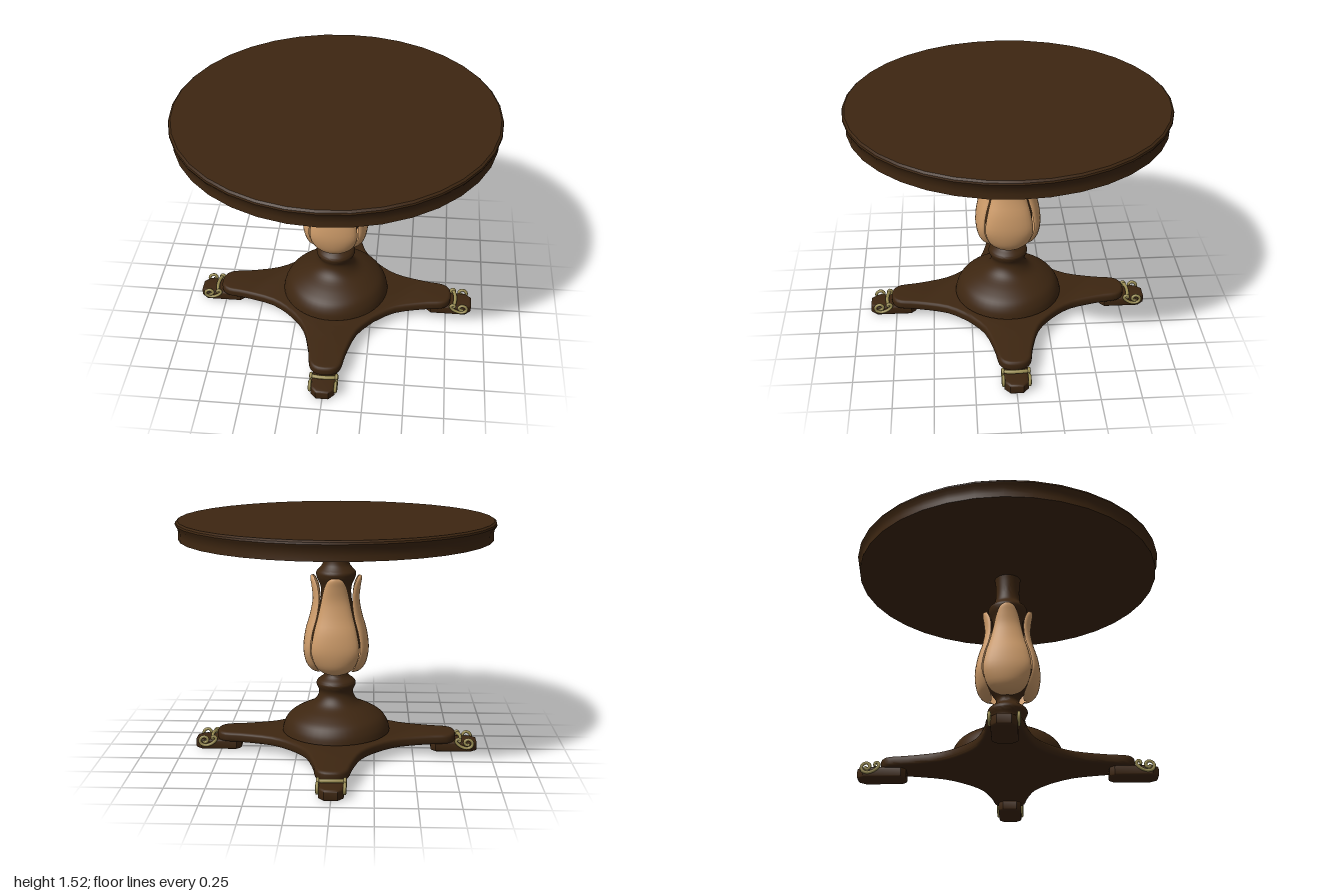
import * as THREE from 'three';
import { toCreasedNormals } from 'three/addons/utils/BufferGeometryUtils.js';

const wood = new THREE.MeshStandardMaterial({ color: 0x3d2611 });
wood.name = 'dark wood';
const paleWood = new THREE.MeshStandardMaterial({ color: 0xcd9b69 });
paleWood.name = 'pale wood';
const brass = new THREE.MeshStandardMaterial({ color: 0x9c8f55 });
brass.name = 'brass';

const v2 = (p) => new THREE.Vector2(p[0], p[1]);

function add(parent, name, geometry, material) {
  const mesh = new THREE.Mesh(geometry, material);
  mesh.name = name;
  parent.add(mesh);
  return mesh;
}

const turned = (points, segments, crease) =>
  toCreasedNormals(new THREE.LatheGeometry(points.map(v2), segments), crease);

// Flat plan outline raised from y0 to y1 with rounded edges
function slab(outline, y0, y1, bevel) {
  const g = new THREE.ExtrudeGeometry(new THREE.Shape(outline), {
    depth: y1 - y0 - 2 * bevel, bevelThickness: bevel, bevelSize: bevel,
    bevelOffset: -bevel, bevelSegments: 3,
  });
  g.rotateX(-Math.PI / 2).translate(0, y0 + bevel, 0);
  return toCreasedNormals(g, 0.7);
}

// Closed crescent sections stacked up the leaf: [y, half width, edge depth, outer depth]
function leafGeometry() {
  const sections = [
    [0.522, 0.01, 0.105, 0.115], [0.527, 0.045, 0.1, 0.138], [0.55, 0.095, 0.108, 0.17],
    [0.6, 0.132, 0.132, 0.198], [0.69, 0.152, 0.158, 0.211], [0.8, 0.137, 0.145, 0.197],
    [0.9, 0.112, 0.118, 0.168], [1.0, 0.09, 0.105, 0.15], [1.08, 0.073, 0.112, 0.156],
    [1.13, 0.052, 0.13, 0.164], [1.15, 0.028, 0.141, 0.162], [1.155, 0.005, 0.15, 0.157],
  ];
  const curve = (k) => new THREE.SplineCurve(sections.map((s) => new THREE.Vector2(s[0], s[k])));
  const curves = [curve(1), curve(2), curve(3)];
  const rows = 36, ring = 24, position = [], index = [];
  for (let i = 0; i <= rows; i++) {
    const [w, edge, outer] = curves.map((c) => c.getPoint(i / rows));
    for (let j = 0; j < ring; j++) {
      const t = (j / ring) * Math.PI * 2, s = Math.sin(t);
      const depth = s >= 0 ? s : -s * 0.45; // inner face is hollowed
      position.push(w.y * Math.cos(t), w.x, edge.y + (outer.y - edge.y) * depth);
    }
  }
  for (let i = 0; i < rows; i++) {
    for (let j = 0; j < ring; j++) {
      const a = i * ring + j, b = i * ring + ((j + 1) % ring);
      index.push(a, a + ring, b, b, a + ring, b + ring);
    }
  }
  const g = new THREE.BufferGeometry();
  g.setAttribute('position', new THREE.Float32BufferAttribute(position, 3));
  g.setIndex(index);
  g.computeVertexNormals();
  return g;
}

// Four-armed plan with concave sides
function platformOutline() {
  const arm = [[0.276, -0.276], [0.41, -0.175], [0.6, -0.12], [0.72, -0.1], [0.768, -0.06],
    [0.78, 0], [0.768, 0.06], [0.72, 0.1], [0.6, 0.12], [0.41, 0.175]];
  const points = [];
  for (let k = 0; k < 4; k++) {
    for (const p of arm) points.push(v2(p).rotateAround(new THREE.Vector2(), (k * Math.PI) / 2));
  }
  points.push(points[0].clone());
  return new THREE.SplineCurve(points).getPoints(120).slice(0, -1);
}

// S-shaped scroll with a small inner curl and a large outer curl
function scrollGeometry() {
  const path = [[0.798, 0.072], [0.81, 0.08], [0.797, 0.092], [0.782, 0.08], [0.79, 0.06],
    [0.815, 0.04], [0.85, 0.029], [0.88, 0.038], [0.89, 0.06], [0.878, 0.082], [0.855, 0.088],
    [0.838, 0.072], [0.845, 0.054], [0.862, 0.052], [0.867, 0.064]];
  const curve = new THREE.CatmullRomCurve3(path.map((p) => new THREE.Vector3(p[0], p[1], 0)));
  return new THREE.TubeGeometry(curve, 70, 0.01, 8);
}

export function createModel() {
  const table = new THREE.Group();
  table.name = 'pedestalTable';

  // Round top with a moulded rim
  add(table, 'tableTop', turned([[0, 1.4], [0.983, 1.4], [0.98, 1.43], [0.983, 1.465],
    [0.995, 1.483], [1, 1.495], [0.997, 1.506], [0.985, 1.516], [0, 1.516]], 36, 0.6), wood);

  // Turned column from domed foot to neck
  const column = new THREE.SplineCurve([[0.35, 0.133], [0.338, 0.18], [0.305, 0.23], [0.24, 0.272],
    [0.16, 0.31], [0.122, 0.35], [0.11, 0.395], [0.127, 0.44], [0.118, 0.466], [0.083, 0.495],
    [0.075, 0.53], [0.12, 0.6], [0.155, 0.69], [0.15, 0.78], [0.122, 0.9], [0.1, 1.0],
    [0.098, 1.08], [0.122, 1.14], [0.126, 1.175], [0.105, 1.2], [0.085, 1.23], [0.077, 1.29],
    [0.08, 1.36], [0.086, 1.405]].map(v2)).getPoints(92);
  add(table, 'column', turned([[0, 0.133], ...column.map((p) => [p.x, p.y])], 48, 0.8), wood);

  // Platform
  add(table, 'platform', slab(platformOutline(), 0.062, 0.125, 0.018), wood);

  const leaf = leafGeometry();
  const foot = slab([[0.62, -0.045], [0.65, -0.075], [0.88, -0.075], [0.92, -0.04],
    [0.92, 0.04], [0.88, 0.075], [0.65, 0.075], [0.62, 0.045]].map(v2), 0, 0.068, 0.014);
  const scroll = scrollGeometry();
  const bar = new THREE.TubeGeometry(new THREE.QuadraticBezierCurve3(
    new THREE.Vector3(0.8, 0.08, -0.08), new THREE.Vector3(0.825, 0.09, 0),
    new THREE.Vector3(0.8, 0.08, 0.08)), 12, 0.012, 8);

  // Leaf, foot and scroll mount on each of the four sides
  for (let k = 0; k < 4; k++) {
    const side = new THREE.Group();
    side.name = 'side' + (k + 1);
    side.rotation.y = (k * Math.PI) / 2;
    add(side, 'leaf', leaf, paleWood);
    add(side, 'foot', foot, wood);
    for (const z of [-0.08, 0.08]) add(side, 'scroll', scroll, brass).position.z = z;
    add(side, 'scrollBar', bar, brass);
    table.add(side);
  }
  return table;
}
